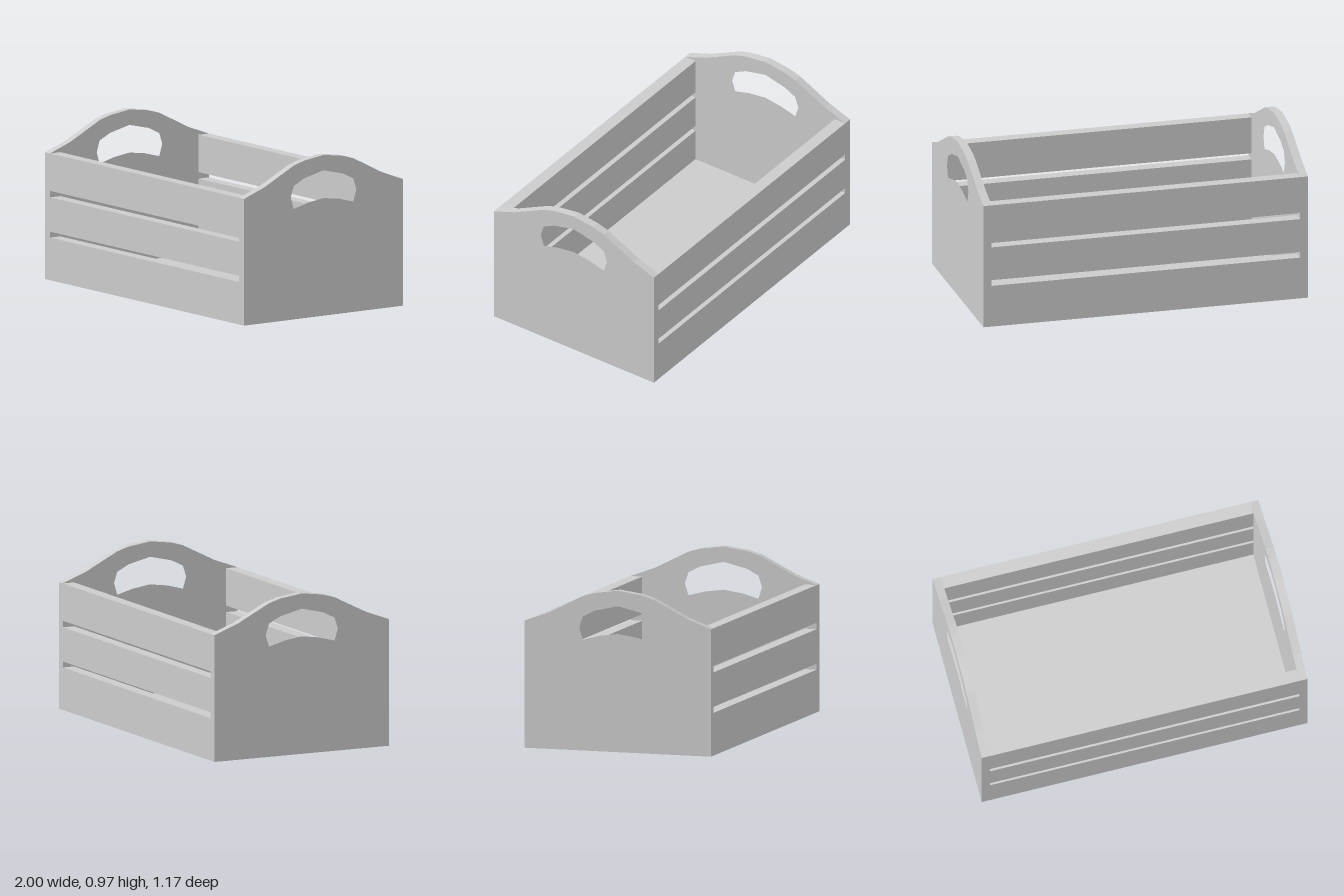
import * as THREE from 'three';

const material = new THREE.MeshStandardMaterial({ color: 0xcccccc, flatShading: true });
const HALF_X = 1, HALF_Z = 0.585, WALL_TOP = 0.765;
const END = 0.05, SLAT = 0.075, FLOOR = 0.05; // thicknesses

// Mirrors half an outline (starting and ending anywhere at z >= 0) across z = 0
function mirrored(half) {
  const other = half.filter(([z]) => z > 0).reverse().map(([z, y]) => [-z, y]);
  return [...half, ...other].map(([z, y]) => new THREE.Vector2(z, y));
}

// Arched end board with a curved hand hole
function endGeometry() {
  const shape = new THREE.Shape(mirrored([
    [HALF_Z, 0], [HALF_Z, WALL_TOP], [0.435, 0.82], [0.22, 0.928], [0.145, 0.95], [0, 0.97],
  ].reverse()));
  shape.holes.push(new THREE.Path([
    [0, 0.877], [0.145, 0.843], [0.22, 0.805], [0.242, 0.737], [0.22, 0.666], [0.115, 0.694], [0, 0.71],
    [-0.115, 0.694], [-0.22, 0.666], [-0.242, 0.737], [-0.22, 0.805], [-0.145, 0.843],
  ].map(([z, y]) => new THREE.Vector2(z, y))));
  const geometry = new THREE.ExtrudeGeometry(shape, { depth: END, bevelEnabled: false });
  return geometry.translate(0, 0, -END / 2).rotateY(-Math.PI / 2);
}

export function createModel() {
  const crate = new THREE.Group();
  crate.name = 'crate';
  const add = (name, geometry, x, y, z) => {
    const mesh = new THREE.Mesh(geometry, material);
    mesh.name = name;
    mesh.position.set(x, y, z);
    crate.add(mesh);
  };

  // End boards with handles
  const end = endGeometry();
  add('leftEnd', end, HALF_X - END / 2, 0, 0);
  add('rightEnd', end, -HALF_X + END / 2, 0, 0);

  // Three slats on each long side, separated by narrow gaps
  const length = 2 * (HALF_X - END);
  const rows = [['lower', 0, 0.257], ['middle', 0.293, 0.5], ['upper', 0.539, WALL_TOP]];
  for (const [side, s] of [['Front', 1], ['Back', -1]]) {
    for (const [row, bottom, top] of rows) {
      add(row + side + 'Slat', new THREE.BoxGeometry(length, top - bottom, SLAT),
        0, (bottom + top) / 2, s * (HALF_Z - SLAT / 2));
    }
  }

  // Floor between the walls
  add('floor', new THREE.BoxGeometry(length, FLOOR, 2 * (HALF_Z - SLAT)), 0, FLOOR / 2, 0);
  return crate;
}
